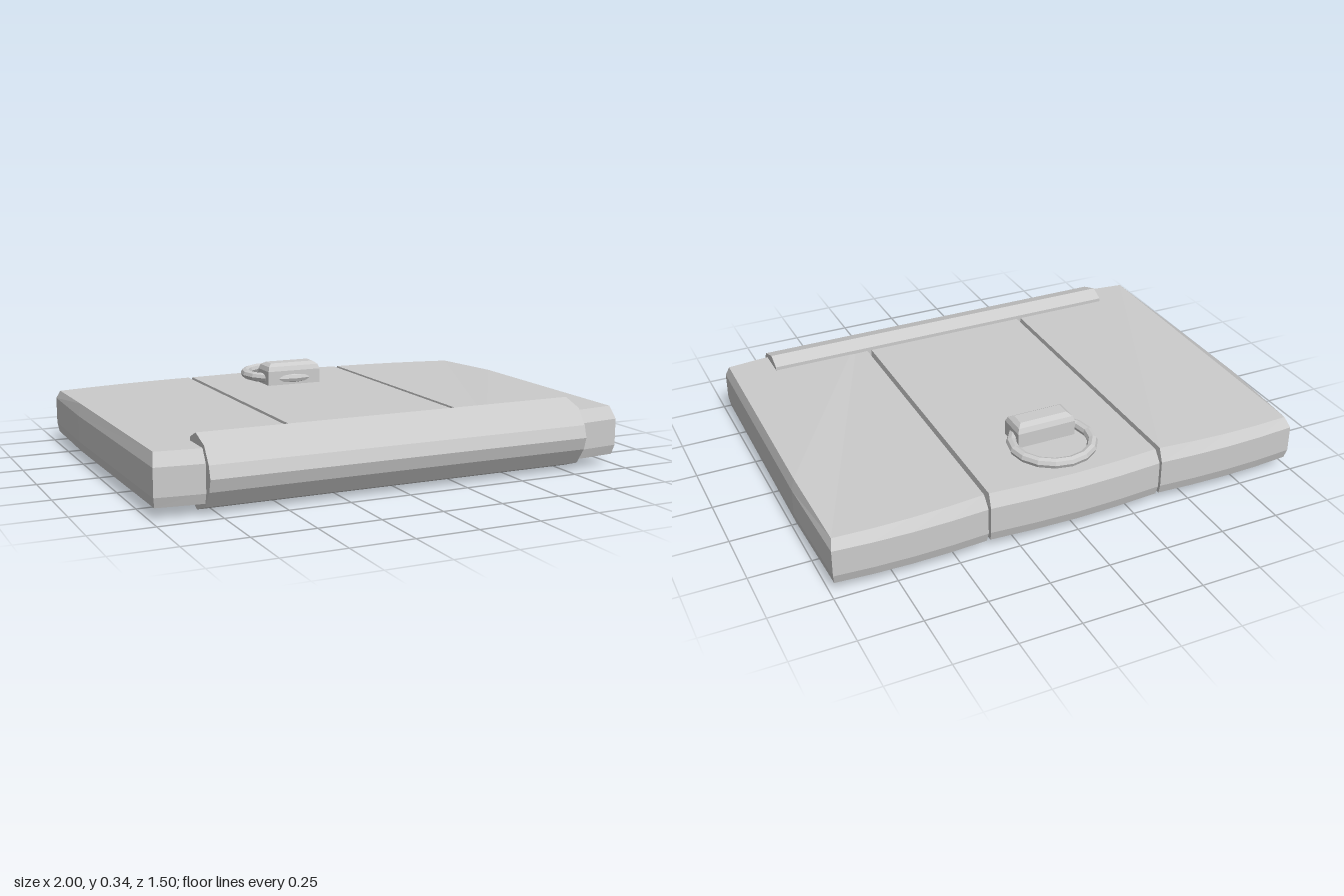
import * as THREE from 'three';

const material = new THREE.MeshStandardMaterial({ color: 0xcccccc, flatShading: true, roughness: 0.8 });

// Closed solid through stacked outlines, each a counter-clockwise ring of [x, y, z] seen from above
function loft(rings) {
  const n = rings[0].length, index = [];
  for (let r = 0; r < rings.length - 1; r++) {
    for (let i = 0; i < n; i++) {
      const a = r * n + i, b = r * n + (i + 1) % n;
      index.push(a, b, b + n, a, b + n, a + n);
    }
  }
  const top = (rings.length - 1) * n;
  for (let i = 1; i < n - 1; i++) {
    index.push(0, i + 1, i, top, top + i, top + i + 1);
  }
  const geometry = new THREE.BufferGeometry();
  geometry.setAttribute('position', new THREE.Float32BufferAttribute(rings.flat(2), 3));
  geometry.setIndex(index);
  const flat = geometry.toNonIndexed();
  flat.computeVertexNormals();
  return flat;
}

function addMesh(parent, name, geometry) {
  const mesh = new THREE.Mesh(geometry, material);
  mesh.name = name;
  parent.add(mesh);
  return mesh;
}

// Plank with bowed ends; front and back list z at evenly spaced x, sideBow swells the outer sides
function plank({ x0, x1, front, back, bow0 = 0, bow1 = 0, dip0 = 0, dip1 = 0 }) {
  const levels = [[0.05, 0.006, 0.012], [0.09, 0, 0], [0.2, 0, 0], [0.25, 0.012, 0.03]];
  return loft(levels.map(([y, dx, dz], level) => {
    const at = (i, list) => x0 + dx * (bow0 ? 1 : 0.4)
      + (x1 - x0 - dx * (bow0 ? 1 : 0.4) - dx * (bow1 ? 1 : 0.4)) * i / (list.length - 1);
    const ring = front.map((z, i) => [at(i, front), y, z - dz]);
    ring.push([at(front.length - 1, front) + bow1, y, -0.3]);
    for (let i = back.length - 1; i >= 0; i--) {
      const t = i / (back.length - 1);
      const drop = level === 3 ? dip0 * (1 - t) + dip1 * t : 0;
      ring.push([at(i, back), y - drop, back[i] + dz]);
    }
    ring.push([at(0, front) - bow0, y, -0.3]);
    return ring;
  }));
}

export function createModel() {
  const group = new THREE.Group();
  group.name = 'trapdoor';

  // Three planks
  const front = [0.70, 0.707, 0.71, 0.702, 0.685];
  const back = [-0.733, -0.742, -0.745, -0.741, -0.73];
  addMesh(group, 'leftPlank', plank({ x0: 0.375, x1: 0.99, front, back, bow1: 0.01, dip1: 0.014 }));
  addMesh(group, 'rightPlank', plank({
    x0: -0.99, x1: -0.375, front: [...front].reverse(), back: [...back].reverse(), bow0: 0.01, dip0: 0.014,
  }));
  addMesh(group, 'middlePlank', plank({
    x0: -0.365, x1: 0.365,
    front: [0.70, 0.708, 0.712, 0.708, 0.70], back: [-0.733, -0.745, -0.75, -0.745, -0.733],
  }));

  // Faceted hinge cover wrapping the front edge
  const profile = [
    [0.54, 0.25], [0.54, 0.265], [0.6, 0.292], [0.69, 0.262], [0.735, 0.2], [0.75, 0.15],
    [0.735, 0.1], [0.69, 0.035], [0.6, 0.005], [0.54, 0.03], [0.54, 0.05],
  ];
  const shape = new THREE.Shape(profile.map(([z, y]) => new THREE.Vector2(-z, y)));
  const cover = new THREE.ExtrudeGeometry(shape, { depth: 1.6, bevelEnabled: false });
  cover.translate(0, 0, -0.8).rotateY(Math.PI / 2);
  addMesh(group, 'hingeCover', cover);

  // Pull ring lying on the middle plank
  const ring = addMesh(group, 'pullRing', new THREE.TorusGeometry(0.16, 0.021, 8, 16));
  ring.rotation.x = -Math.PI / 2;
  ring.position.set(0, 0.277, -0.515);

  // Chamfered bracket holding the ring
  const bracketLevels = [[0.245, 0], [0.312, 0], [0.332, 0.009], [0.345, 0.03]];
  const bracket = loft(bracketLevels.map(([y, inset]) => {
    const x = 0.125 - inset * 0.8, z0 = -0.35 - inset, z1 = -0.47 + inset;
    return [[-x, y, z0], [x, y, z0], [x, y, z1], [-x, y, z1]];
  }));
  addMesh(group, 'ringBracket', bracket);

  return group;
}
